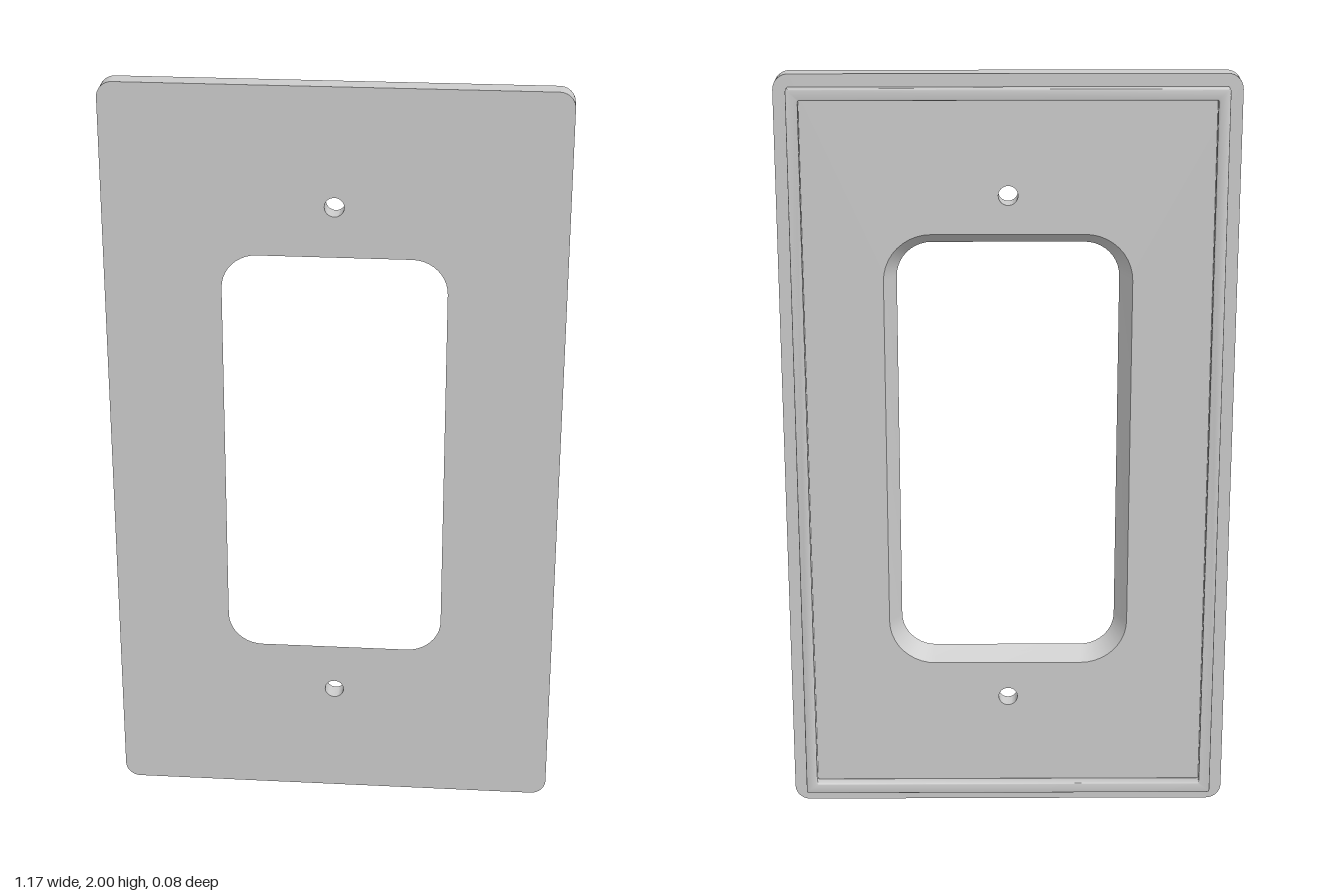
import * as THREE from 'three';
import { mergeGeometries, toCreasedNormals } from 'three/addons/utils/BufferGeometryUtils.js';

const FRONT = 0.042, BACK = -0.01;

// counter-clockwise outline of a rounded rectangle (half sizes w, h; corner radius r)
function outline(w, h, r, cy = 0, n = 10) {
  const pts = [];
  [[1, 1], [-1, 1], [-1, -1], [1, -1]].forEach(([sx, sy], k) => {
    for (let i = 0; i <= n; i++) {
      const a = (k + i / n) * Math.PI / 2;
      pts.push(new THREE.Vector2(sx * (w - r) + r * Math.cos(a), cy + sy * (h - r) + r * Math.sin(a)));
    }
  });
  return pts;
}

function circle(r, cy, n = 32) {
  return Array.from({ length: n }, (_, i) => {
    const a = i / n * Math.PI * 2;
    return new THREE.Vector2(r * Math.cos(a), cy + r * Math.sin(a));
  });
}

function shapeWithHoles(outer, holes) {
  const s = new THREE.Shape(outer);
  s.holes = holes.map(h => new THREE.Path(h));
  return s;
}

// flat face at depth z, facing forward or backward
function face(outer, holes, z, backward) {
  const g = new THREE.ShapeGeometry(shapeWithHoles(outer, holes)).toNonIndexed();
  g.deleteAttribute('uv');
  g.deleteAttribute('normal');
  const p = g.attributes.position;
  for (let i = 0; i < p.count; i++) p.setZ(i, z);
  if (backward) {
    const a = p.array;
    for (let t = 0; t < a.length; t += 9)
      for (let k = 0; k < 3; k++) [a[t + 3 + k], a[t + 6 + k]] = [a[t + 6 + k], a[t + 3 + k]];
  }
  return g;
}

// wall joining a front loop to a back loop; inward for holes
function wall(front, back, inward) {
  const v = [], n = front.length;
  for (let i = 0; i < n; i++) {
    const j = (i + 1) % n;
    const a = [front[i].x, front[i].y, FRONT], b = [back[i].x, back[i].y, BACK];
    const c = [back[j].x, back[j].y, BACK], d = [front[j].x, front[j].y, FRONT];
    v.push(...(inward ? [a, c, b, a, d, c] : [a, b, c, a, c, d]).flat());
  }
  const g = new THREE.BufferGeometry();
  g.setAttribute('position', new THREE.Float32BufferAttribute(v, 3));
  return g;
}

export function createModel() {
  const group = new THREE.Group();
  const material = new THREE.MeshStandardMaterial({ color: 0xcccccc });

  // plate with an opening that flares towards the back, and two screw holes
  const flare = 0.032;
  const edge = outline(0.583, 1, 0.04);
  const openFront = outline(0.285, 0.56, 0.09);
  const openBack = outline(0.285 + flare, 0.56 + flare, 0.09 + flare);
  const screws = [0.692, -0.692].map(y => circle(0.025, y));
  const plateGeo = mergeGeometries([
    face(edge, [openFront, ...screws], FRONT, false),
    face(edge, [openBack, ...screws], BACK, true),
    wall(edge, edge, false),
    wall(openFront, openBack, true),
    ...screws.map(s => wall(s, s, true)),
  ]);
  const plate = new THREE.Mesh(toCreasedNormals(plateGeo, 0.5), material);
  plate.name = 'wallPlate';
  group.add(plate);

  // softly rounded rectangular gasket around the back
  const w = 0.55, h = 0.968, band = 0.03, b = 0.004, depth = 0.032;
  const gasketGeo = new THREE.ExtrudeGeometry(
    shapeWithHoles(outline(w, h, 0.007, 0, 4), [outline(w - band, h - band, 0.004, 0, 4)]),
    { depth: depth - 2 * b, bevelThickness: b, bevelSize: b, bevelOffset: -b, bevelSegments: 3 });
  gasketGeo.translate(0, 0, BACK - depth + b);
  const gasket = new THREE.Mesh(toCreasedNormals(gasketGeo, 0.7), material);
  gasket.name = 'backGasket';
  group.add(gasket);

  group.position.y = 1;
  return group;
}
